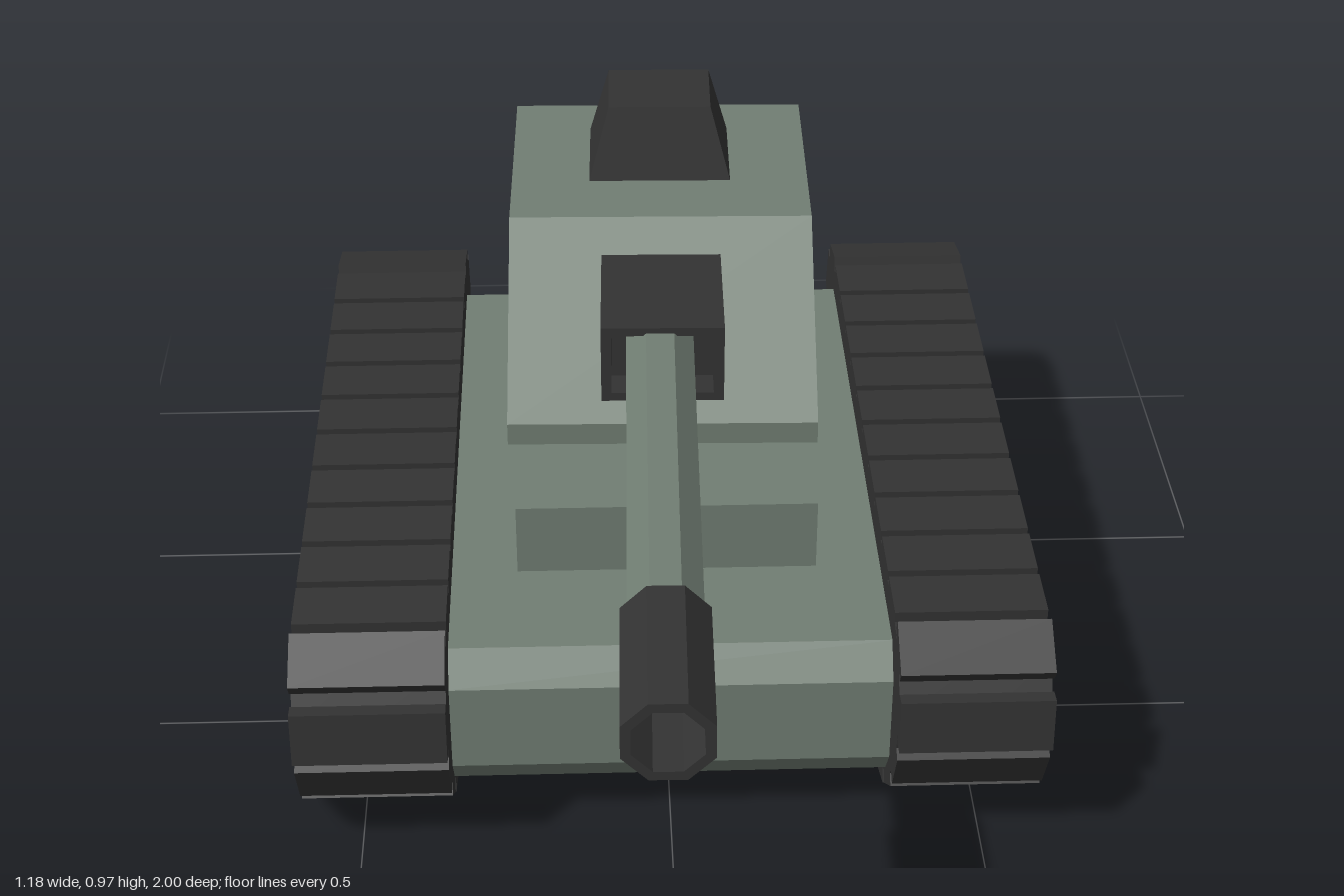
import * as THREE from 'three';

const green = new THREE.MeshStandardMaterial({ color: 0x717e73 });
green.name = 'armour green';
const dark = new THREE.MeshStandardMaterial({ color: 0x333333 });
dark.name = 'dark metal';

const TRACK_Z = -0.293; // middle of the tracks along z

// Faceted normals for a low-poly look
function flat(geo) {
  const g = geo.index ? geo.toNonIndexed() : geo;
  g.computeVertexNormals();
  return g;
}

function add(parent, name, geo, mat) {
  const mesh = new THREE.Mesh(flat(geo), mat);
  mesh.name = name;
  parent.add(mesh);
  return mesh;
}

// Box given by its limits on each axis
function box(x0, x1, y0, y1, z0, z1) {
  return new THREE.BoxGeometry(x1 - x0, y1 - y0, z1 - z0)
    .translate((x0 + x1) / 2, (y0 + y1) / 2, (z0 + z1) / 2);
}

const toShape = (pts) => new THREE.Shape(pts.map(([a, b]) => new THREE.Vector2(a, b)));

// Extrude a (z, y) profile from x0 to x1
function extrudeX(shape, x0, x1) {
  return new THREE.ExtrudeGeometry(shape, { depth: x1 - x0, bevelEnabled: false })
    .rotateY(-Math.PI / 2).translate(x1, 0, 0);
}

// Points of a regular polygon
function polygon(cx, cy, r, sides, turn = 0) {
  return Array.from({ length: sides }, (_, i) => {
    const a = turn + (i / sides) * Math.PI * 2;
    return new THREE.Vector2(cx + r * Math.cos(a), cy + r * Math.sin(a));
  });
}

// Wheels: z, y, radius, hub radius
const wheels = [
  [0.075, 0.205, 0.165, 0.03], [-0.287, 0.205, 0.165, 0.03], [-0.655, 0.205, 0.165, 0.03],
  [0.313, 0.29, 0.069, 0.012], [-0.89, 0.29, 0.069, 0.012],
];

// Half of the track outline, mirrored front to back
function trackOutline() {
  const half = [[0.58, 0.39], [0.645, 0.375], [0.69, 0.29], [0.67, 0.2],
    [0.61, 0.11], [0.49, 0.037], [0.38, 0.018]];
  const back = half.map(([z, y]) => [-z, y]).reverse();
  return [...half, ...back].map(([z, y]) => [z + TRACK_Z, y]);
}

function makeTrack(side) {
  const track = new THREE.Group();
  track.name = side > 0 ? 'leftTrack' : 'rightTrack';
  const span = (a, b) => (side > 0 ? [a, b] : [-b, -a]);
  const outline = trackOutline();

  // Solid core and an outer plate with deep wheel openings
  add(track, 'trackCore', extrudeX(toShape(outline), ...span(0.35, 0.485)), dark);
  const plate = toShape(outline);
  for (const [z, y, r] of wheels) {
    plate.holes.push(new THREE.Path(polygon(z, y, r > 0.1 ? 0.178 : 0.073, 12)));
  }
  add(track, 'trackSidePlate', extrudeX(plate, ...span(0.485, 0.588)), dark);

  // Recessed wheels with hubs
  for (const [z, y, r, hub] of wheels) {
    const disc = new THREE.Shape(polygon(z, y, r, 12));
    add(track, 'wheel', extrudeX(disc, ...span(0.475, 0.498)), green);
    const cap = new THREE.Shape(polygon(z, y, hub, 8));
    add(track, 'wheelHub', extrudeX(cap, ...span(0.49, r > 0.1 ? 0.535 : 0.515)), dark);
  }

  // Tread plates spaced along the outline
  const path = new THREE.CurvePath();
  const pts = outline.map(([z, y]) => new THREE.Vector2(z, y));
  pts.forEach((p, i) => path.add(new THREE.LineCurve(p, pts[(i + 1) % pts.length])));
  const count = 28;
  for (let i = 0; i < count; i++) {
    const a = path.getPointAt(i / count);
    const b = path.getPointAt(((i + 1) % count) / count);
    const mid = path.getPointAt((i + 0.5) / count);
    const dir = b.clone().sub(a);
    const length = dir.length() * 0.86;
    dir.normalize();
    const tread = add(track, 'tread', new THREE.BoxGeometry(0.24, 0.026, length), dark);
    // The outline runs clockwise, so outward is to the left of travel
    tread.position.set(side * 0.47, mid.y + dir.x * 0.005, mid.x - dir.y * 0.005);
    tread.rotation.x = -Math.atan2(dir.y, dir.x);
  }
  return track;
}

function makeTurret() {
  const turret = new THREE.Group();
  turret.name = 'turret';
  const t = new THREE.Group(); // shifts the parts so that the turret turns about its neck
  t.name = 'turretParts';
  t.position.z = 0.33;
  turret.add(t);
  turret.position.set(0.002, 0, -0.33);
  turret.rotation.y = -0.02;

  // Wedge-nosed body
  const body = toShape([[0.07, 0.595], [0.07, 0.632], [-0.22, 0.845], [-0.63, 0.845], [-0.665, 0.595]]);
  add(t, 'turretBody', extrudeX(body, -0.245, 0.245), green);

  // Hatch with sloping sides
  const hatch = box(-0.118, 0.118, 0.84, 0.967, -0.54, -0.345);
  const p = hatch.attributes.position;
  for (let i = 0; i < p.count; i++) {
    if (p.getY(i) > 0.9) {
      p.setX(i, p.getX(i) * 0.71);
      p.setZ(i, -0.4425 + (p.getZ(i) + 0.4425) * 0.73);
    }
  }
  add(t, 'hatch', hatch, dark);

  // Gun mount with a recessed front
  add(t, 'gunMount', box(-0.096, 0.096, 0.674, 0.805, -0.17, 0.015), dark);
  const frame = toShape([[-0.096, 0.674], [0.096, 0.674], [0.096, 0.805], [-0.096, 0.805]]);
  frame.holes.push(new THREE.Path([[-0.08, 0.688], [0.08, 0.688], [0.08, 0.791], [-0.08, 0.791]]
    .map(([x, y]) => new THREE.Vector2(x, y))));
  add(t, 'gunMountRim', new THREE.ExtrudeGeometry(frame, { depth: 0.053, bevelEnabled: false })
    .translate(0, 0, 0.015), dark);

  // Eight-sided barrel and hollow muzzle
  const prism = (r, z0, z1, bore) => {
    const s = new THREE.Shape(polygon(-0.004, 0.743, r, 8, Math.PI / 8));
    if (bore) s.holes.push(new THREE.Path(polygon(-0.004, 0.743, bore, 8, Math.PI / 8)));
    return new THREE.ExtrudeGeometry(s, { depth: z1 - z0, bevelEnabled: false }).translate(0, 0, z0);
  };
  add(t, 'barrel', prism(0.057, 0.0, 0.75), green);
  add(t, 'muzzleBase', prism(0.067, 0.745, 0.86), dark);
  add(t, 'muzzle', prism(0.067, 0.86, 1.0, 0.052), dark);
  return turret;
}

export function createModel() {
  const tank = new THREE.Group();
  tank.name = 'tank';

  // Hull with chamfered ends
  const hull = toShape([[0.265, 0.345], [0.305, 0.292], [0.305, 0.14], [0.265, 0.086],
    [-0.85, 0.086], [-0.89, 0.14], [-0.89, 0.292], [-0.85, 0.345]]);
  add(tank, 'hull', extrudeX(hull, -0.36, 0.36), green);
  add(tank, 'upperDeck', box(-0.243, 0.245, 0.34, 0.468, -0.667, 0.06), green);
  add(tank, 'turretNeck', box(-0.102, 0.105, 0.46, 0.6, -0.458, -0.246), dark);

  tank.add(makeTurret(), makeTrack(1), makeTrack(-1));
  return tank;
}
